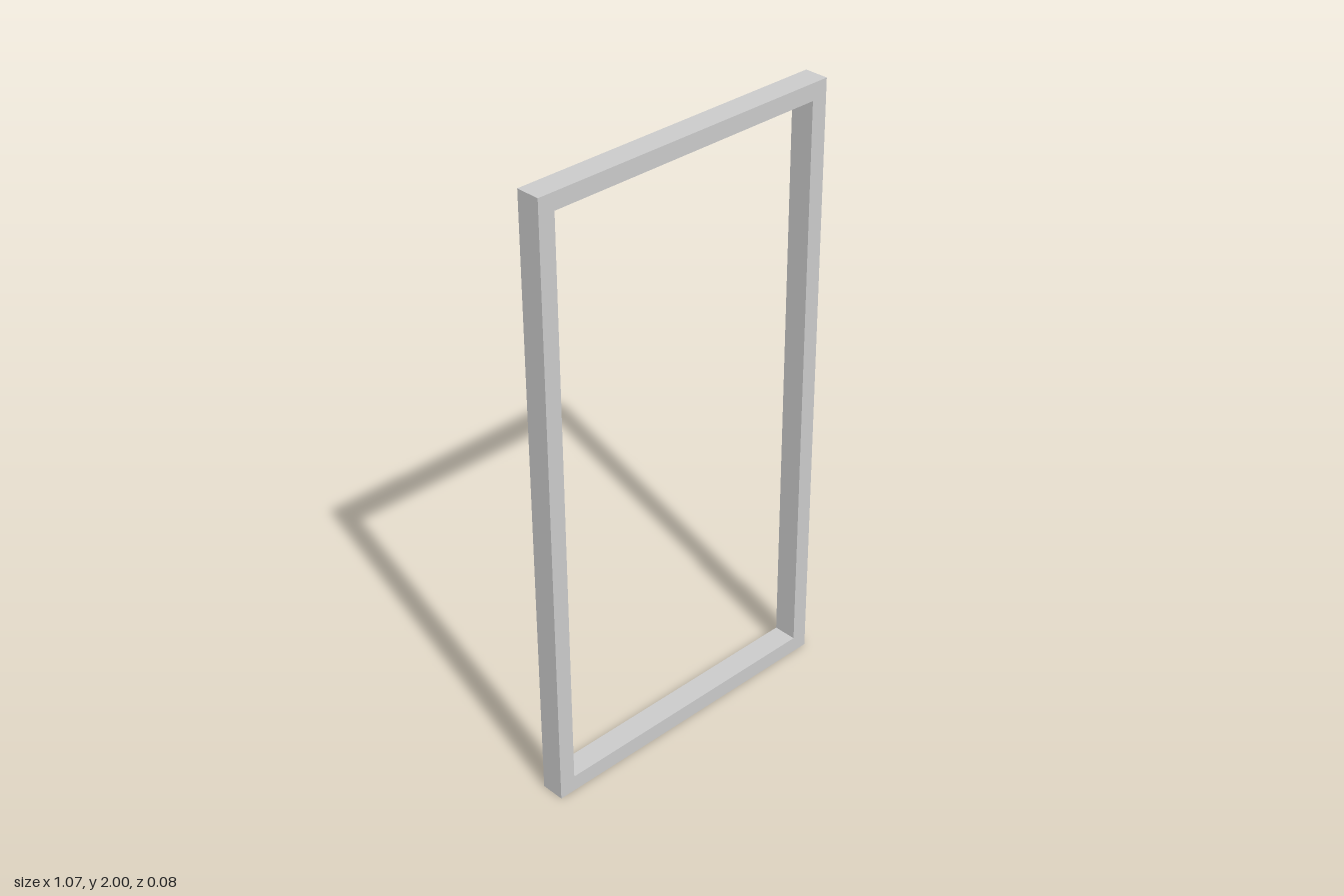
import * as THREE from 'three';

const WIDTH = 1.066, HEIGHT = 2, DEPTH = 0.078, BAR = 0.054;

// Corners of an upright rectangle, inset evenly from the outer edge
function rectangle(inset) {
  const x = WIDTH / 2 - inset, y0 = inset, y1 = HEIGHT - inset;
  return [[-x, y0], [x, y0], [x, y1], [-x, y1]].map(([px, py]) => new THREE.Vector2(px, py));
}

export function createModel() {
  const group = new THREE.Group();
  group.name = 'openFrame';

  // One continuous square-edged frame around a tall opening
  const outline = new THREE.Shape(rectangle(0));
  outline.holes.push(new THREE.Path(rectangle(BAR)));
  const geometry = new THREE.ExtrudeGeometry(outline, { depth: DEPTH, bevelEnabled: false });
  geometry.translate(0, 0, -DEPTH / 2);

  const frame = new THREE.Mesh(geometry, new THREE.MeshStandardMaterial({ color: 0xcccccc }));
  frame.name = 'frame';
  group.add(frame);
  return group;
}
